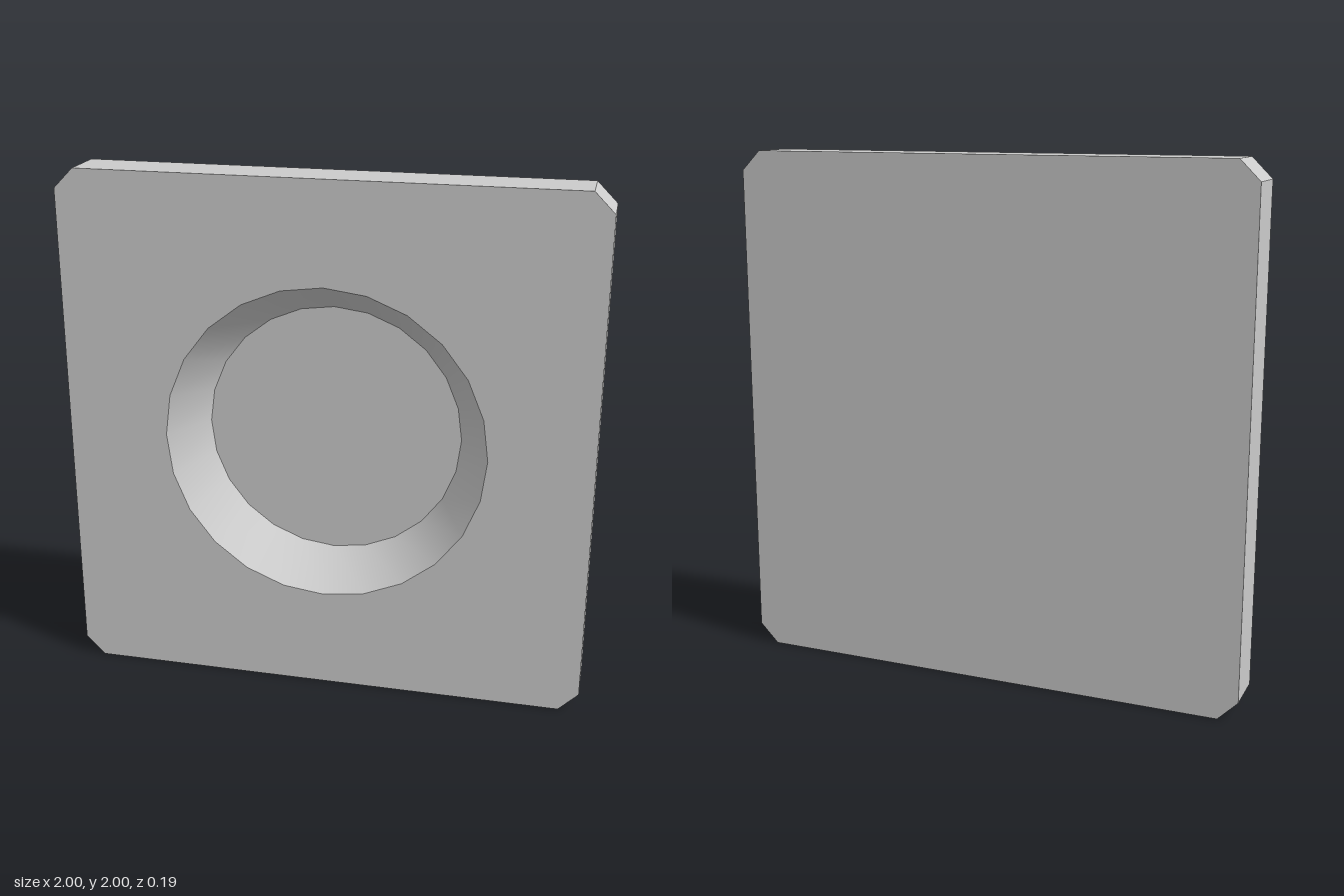
import * as THREE from 'three';
import { toCreasedNormals } from 'three/addons/utils/BufferGeometryUtils.js';

const HALF = 1, CHAMFER = 0.075, DEPTH = 0.186;
const RIM = 0.613, FLOOR = 0.492, SIDES = 24;

// Square plate outline with cut corners and a round opening
function plateShape() {
  const c = HALF - CHAMFER;
  const shape = new THREE.Shape([
    [HALF, -c], [HALF, c], [c, HALF], [-c, HALF],
    [-HALF, c], [-HALF, -c], [-c, -HALF], [c, -HALF],
  ].map(([x, y]) => new THREE.Vector2(x, y)));
  const rim = [];
  for (let i = 0; i < SIDES; i++) {
    const a = -i / SIDES * Math.PI * 2;
    rim.push(new THREE.Vector2(Math.cos(a) * RIM, Math.sin(a) * RIM));
  }
  shape.holes.push(new THREE.Path(rim));
  return shape;
}

export function createModel() {
  const group = new THREE.Group();
  group.name = 'recessedPlate';
  const material = new THREE.MeshStandardMaterial({ color: 0xcccccc });

  // Plate: the opening is narrowed at the back to make a conical recess wall
  let geometry = new THREE.ExtrudeGeometry(plateShape(), { depth: DEPTH, bevelEnabled: false });
  geometry.translate(0, 0, -DEPTH / 2);
  const pos = geometry.attributes.position;
  for (let i = 0; i < pos.count; i++) {
    const x = pos.getX(i), y = pos.getY(i);
    if (pos.getZ(i) < 0 && Math.hypot(x, y) < RIM + 0.01) {
      pos.setXY(i, x * FLOOR / RIM, y * FLOOR / RIM);
    }
  }
  geometry = toCreasedNormals(geometry, 0.5);
  const plate = new THREE.Mesh(geometry, material);
  plate.name = 'plate';
  plate.position.y = HALF;
  group.add(plate);

  // Thin floor closing the recess, flush with the back
  const floorMaterial = material.clone();
  floorMaterial.side = THREE.DoubleSide;
  const floor = new THREE.Mesh(new THREE.CircleGeometry(FLOOR, SIDES), floorMaterial);
  floor.name = 'recessFloor';
  floor.position.set(0, HALF, -DEPTH / 2);
  group.add(floor);

  return group;
}
